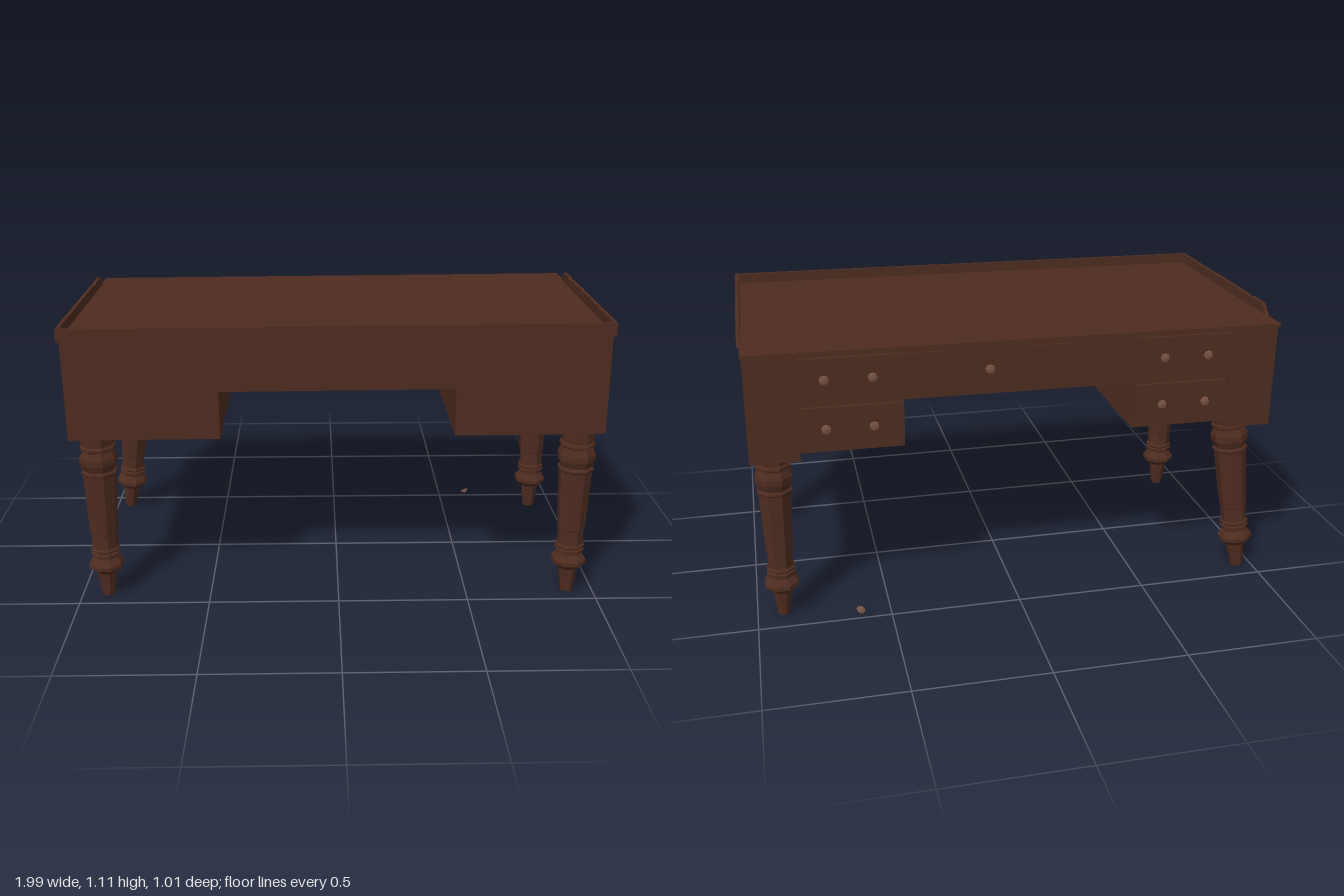
import * as THREE from 'three';

const wood = new THREE.MeshStandardMaterial({ color: 0x4e2c20, flatShading: true });
const knobWood = new THREE.MeshStandardMaterial({ color: 0x7a5446, flatShading: true });

// Box given by its minimum and maximum corners
function box(parent, name, [x0, y0, z0], [x1, y1, z1]) {
  const mesh = new THREE.Mesh(new THREE.BoxGeometry(x1 - x0, y1 - y0, z1 - z0), wood);
  mesh.position.set((x0 + x1) / 2, (y0 + y1) / 2, (z0 + z1) / 2);
  mesh.name = name;
  parent.add(mesh);
  return mesh;
}

// Small turned knob pointing towards -z
const knobGeometry = new THREE.LatheGeometry(
  [[0, 0], [0.008, 0], [0.008, 0.005], [0.018, 0.008], [0.016, 0.013], [0, 0.016]]
    .map(([r, y]) => new THREE.Vector2(r, y)), 8);
knobGeometry.rotateX(-Math.PI / 2);

function knob(parent, name, x, y, z) {
  const mesh = new THREE.Mesh(knobGeometry, knobWood);
  mesh.name = name;
  mesh.position.set(x, y, z);
  parent.add(mesh);
  return mesh;
}

// Eight-sided turned leg, as [radius, height] from the foot up
const legProfile = [
  [0, 0], [0.023, 0], [0.036, 0.1], [0.046, 0.108], [0.064, 0.125], [0.064, 0.14],
  [0.046, 0.165], [0.046, 0.174], [0.053, 0.178], [0.053, 0.186], [0.047, 0.19],
  [0.053, 0.195], [0.053, 0.203], [0.047, 0.208], [0.047, 0.265], [0.05, 0.268],
  [0.06, 0.512], [0.065, 0.517], [0.065, 0.524], [0.058, 0.53], [0.068, 0.558],
  [0.068, 0.58], [0.056, 0.608], [0.064, 0.614], [0.064, 0.624], [0.058, 0.63], [0.061, 0.685], [0, 0.685],
];
const legGeometry = new THREE.LatheGeometry(
  legProfile.map(([r, y]) => new THREE.Vector2(r * 1.06, y)), 8, Math.PI / 8);

function leg(parent, name, foot, top) {
  const mesh = new THREE.Mesh(legGeometry, wood);
  mesh.name = name;
  mesh.position.copy(foot);
  mesh.quaternion.setFromUnitVectors(new THREE.Vector3(0, 1, 0), top.clone().sub(foot).normalize());
  parent.add(mesh);
}

// Side rim with a splintered rear end, lying in the z-y plane
function sideRim(parent, name, x) {
  const outline = [
    [0.5, 1.052], [-0.375, 1.052], [-0.365, 1.068], [-0.355, 1.072], [-0.35, 1.084], [-0.338, 1.088],
    [-0.335, 1.097], [-0.24, 1.097], [-0.225, 1.089], [-0.2, 1.095], [-0.01, 1.097], [0, 1.093],
    [0.01, 1.097], [0.2, 1.097], [0.21, 1.093], [0.22, 1.097], [0.3, 1.096], [0.315, 1.098], [0.5, 1.098],
  ].map(([z, y]) => new THREE.Vector2(-z, y));
  const geometry = new THREE.ExtrudeGeometry(new THREE.Shape(outline), { depth: 0.014, bevelEnabled: false });
  geometry.translate(0, 0, -0.007);
  geometry.rotateY(Math.PI / 2);
  const mesh = new THREE.Mesh(geometry, wood);
  mesh.name = name;
  mesh.position.x = x;
  parent.add(mesh);
}

export function createModel() {
  const desk = new THREE.Group();
  desk.name = 'desk';

  // The carcass sags slightly towards -x
  const body = new THREE.Group();
  body.name = 'body';
  body.rotation.z = 0.0065;
  desk.add(body);

  // Carcass and top
  box(body, 'apron', [-0.43, 0.858, -0.478], [0.43, 1.05, 0.5]);
  box(body, 'tabletop', [-0.99, 1.046, -0.492], [0.99, 1.059, 0.5]);
  box(body, 'frontRim', [-0.995, 1.052, 0.49], [0.995, 1.098, 0.504]);

  for (const s of [-1, 1]) {
    const side = s > 0 ? 'left' : 'right';
    const span = (name, a, b, y0, y1, z0, z1) =>
      box(body, name, [Math.min(s * a, s * b), y0, z0], [Math.max(s * a, s * b), y1, z1]);
    span(side + 'Pedestal', 0.43, 0.985, 0.678, 1.05, -0.472, 0.5);
    span(side + 'CornerPost', 0.805, 0.985, 0.652, 1.05, -0.482, -0.3);
    sideRim(body, side + 'Rim', s * 0.99);

    // Two drawers per pedestal, two knobs each
    [[0.69, 0.85], [0.875, 1.032]].forEach(([y0, y1], i) => {
      const name = side + (i ? 'Upper' : 'Lower') + 'Drawer';
      span(name, 0.435, 0.798, y0, y1, -0.485, -0.46);
      for (const x of [0.54, 0.71]) knob(body, name + 'Knob', s * x, (y0 + y1) / 2, -0.482);
    });
  }

  // Centre drawer, one of its knobs has come off
  box(body, 'centreDrawer', [-0.425, 0.88, -0.485], [0.425, 1.032, -0.46]);
  knob(body, 'centreDrawerKnob', 0.12, 0.955, -0.482);
  knob(desk, 'fallenKnob', 0.62, 0.02, -0.485).rotation.set(1.2, 0.4, 0.2);

  // Legs, the rear right one splayed outwards
  const v = (x, y, z) => new THREE.Vector3(x, y, z);
  leg(desk, 'frontLeftLeg', v(0.9, 0, 0.42), v(0.9, 0.68, 0.42));
  leg(desk, 'frontRightLeg', v(-0.9, 0, 0.42), v(-0.9, 0.68, 0.42));
  leg(desk, 'rearLeftLeg', v(0.9, 0, -0.395), v(0.9, 0.68, -0.395));
  leg(desk, 'rearRightLeg', v(-0.94, 0.002, -0.418), v(-0.868, 0.67, -0.374));
  return desk;
}
